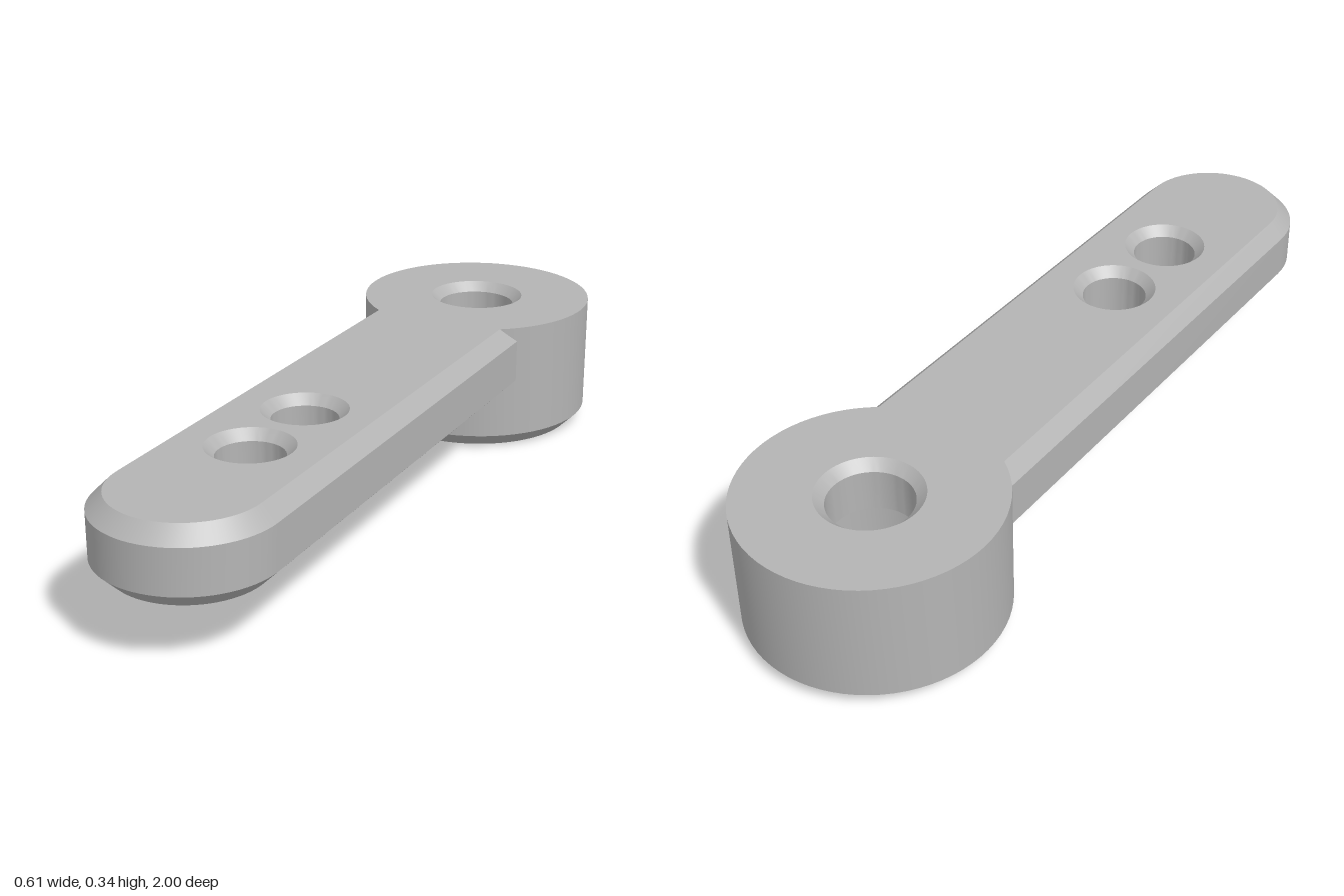
import * as THREE from 'three';
import { toCreasedNormals } from 'three/addons/utils/BufferGeometryUtils.js';

const TOP = 0.338, ARM_BOTTOM = 0.155, CHAMFER = 0.037, ARM_HALF = 0.214;
const HUB_Z = -0.693, HUB_R = 0.307, TIP_Z = 1 - ARM_HALF;
const HOLES_Z = [0.288, 0.534], HOLE_R = 0.08, SINK_R = 0.104;

// Revolve [radius, y] points about a vertical axis, keeping edges crisp
function revolve(points, z) {
  const geo = new THREE.LatheGeometry(points.map(([r, y]) => new THREE.Vector2(r, y)), 72);
  return toCreasedNormals(geo, 0.5).translate(0, 0, z);
}

// Plan outline of the arm: round tip, then a concave end that follows the hub
function outline(half) {
  const pts = [], tipSteps = 36, endSteps = 12, r = HUB_R - 0.002;
  for (let i = 0; i <= tipSteps; i++) {
    const a = (i / tipSteps) * Math.PI;
    pts.push([half * Math.cos(a), TIP_Z + half * Math.sin(a)]);
  }
  const spread = Math.asin(half / r);
  for (let i = 0; i <= endSteps; i++) {
    const a = spread * ((2 * i) / endSteps - 1);
    pts.push([r * Math.sin(a), HUB_Z + r * Math.cos(a)]);
  }
  return pts;
}

// Chamfered side wall lofted through [halfWidth, y] levels
function armWall(levels) {
  const loops = levels.map(([half, y]) => outline(half).map(([x, z]) => [x, y, z]));
  const n = loops[0].length, index = [];
  for (let l = 0; l < loops.length - 1; l++) {
    for (let i = 0; i < n; i++) {
      const a0 = l * n + i, b0 = l * n + ((i + 1) % n), a1 = a0 + n, b1 = b0 + n;
      index.push(b0, a0, a1, b0, a1, b1);
    }
  }
  const geo = new THREE.BufferGeometry();
  geo.setAttribute('position', new THREE.Float32BufferAttribute(loops.flat(2), 3));
  geo.setIndex(index);
  return toCreasedNormals(geo, 0.5);
}

// Flat face of the arm with its two holes; side is +1 for top, -1 for bottom
function armFace(y, side) {
  const shape = new THREE.Shape(
    outline(ARM_HALF - CHAMFER).map(([x, z]) => new THREE.Vector2(x, -side * z)));
  for (const z of HOLES_Z) {
    shape.holes.push(new THREE.Path().absarc(0, -side * z, SINK_R, 0, Math.PI * 2, true));
  }
  return new THREE.ShapeGeometry(shape, 36).rotateX(-side * Math.PI / 2).translate(0, y, 0);
}

export function createModel() {
  const model = new THREE.Group();
  model.name = 'leverArm';
  const grey = new THREE.MeshStandardMaterial({ color: 0xb4b4b4 });
  grey.name = 'plain grey';
  const add = (name, geo, parent) => {
    const mesh = new THREE.Mesh(geo, grey);
    mesh.name = name;
    parent.add(mesh);
  };

  // Hub with chamfered foot, countersunk top hole and wider socket below
  add('hub', revolve([
    [0.184, 0], [HUB_R - CHAMFER, 0], [HUB_R, CHAMFER], [HUB_R, TOP],
    [0.124, TOP], [0.1, TOP - 0.024], [0.1, 0.21],
    [0.157, 0.21], [0.157, 0.027], [0.184, 0],
  ], HUB_Z), model);

  // Arm
  const arm = new THREE.Group();
  arm.name = 'arm';
  model.add(arm);
  add('armSide', armWall([
    [ARM_HALF - CHAMFER, ARM_BOTTOM], [ARM_HALF, ARM_BOTTOM + CHAMFER],
    [ARM_HALF, TOP - CHAMFER], [ARM_HALF - CHAMFER, TOP],
  ]), arm);
  add('armTop', armFace(TOP, 1), arm);
  add('armBottom', armFace(ARM_BOTTOM, -1), arm);

  // Linkage holes, countersunk on both faces
  const sink = SINK_R - HOLE_R;
  for (const z of HOLES_Z) {
    add('linkageHole', revolve([
      [SINK_R, TOP], [HOLE_R, TOP - sink], [HOLE_R, ARM_BOTTOM + sink], [SINK_R, ARM_BOTTOM],
    ], z), arm);
  }
  return model;
}
